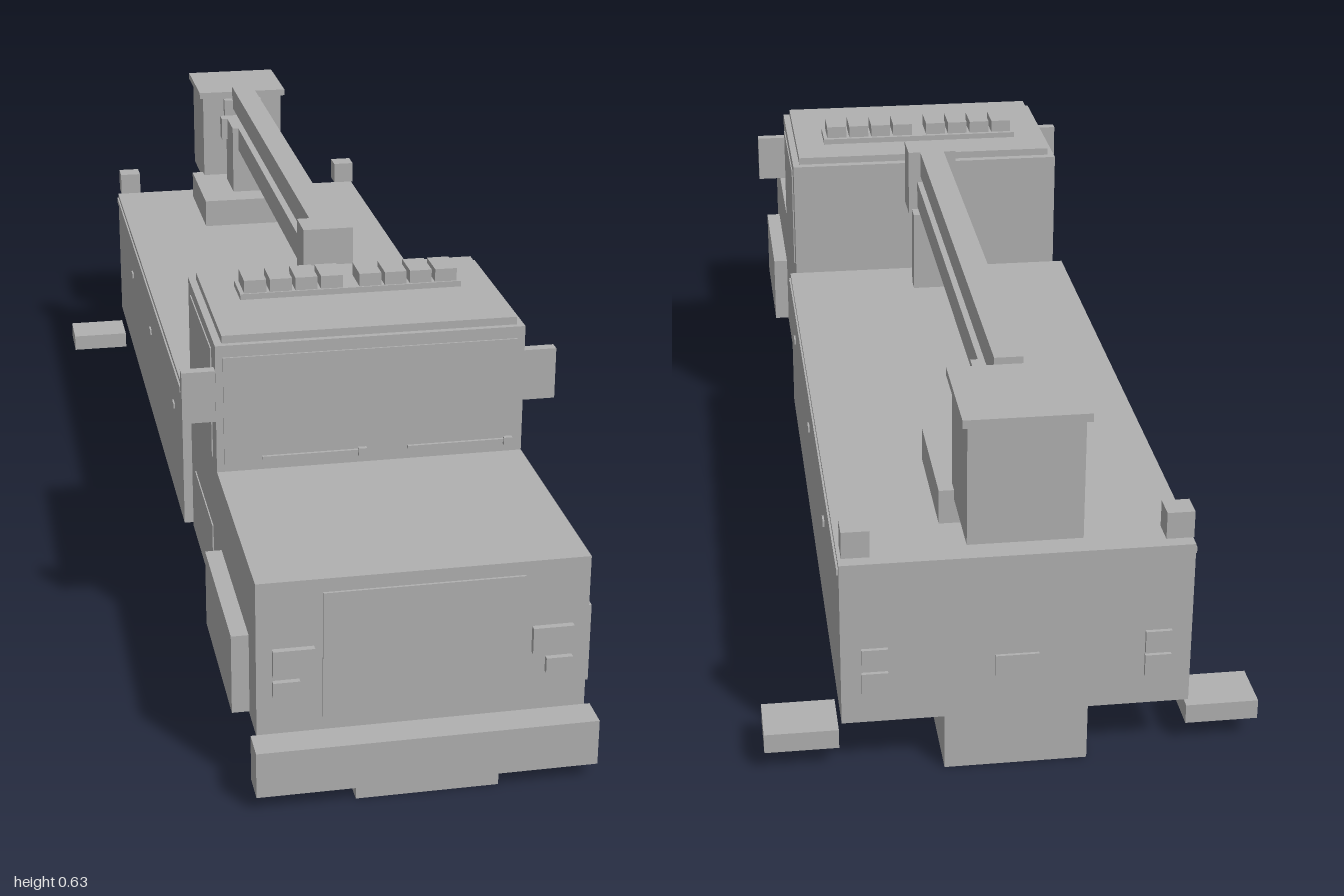
import * as THREE from 'three';

export function createModel() {
  const model = new THREE.Group();
  model.name = 'bucketTruck';
  const gray = new THREE.MeshStandardMaterial({ color: 0xb0b0b0 });
  gray.name = 'plain gray';

  // box given by its extents on each axis
  const box = (name, x0, x1, y0, y1, z0, z1) => {
    const mesh = new THREE.Mesh(new THREE.BoxGeometry(x1 - x0, y1 - y0, z1 - z0), gray);
    mesh.position.set((x0 + x1) / 2, (y0 + y1) / 2, (z0 + z1) / 2);
    mesh.name = name;
    model.add(mesh);
  };
  const centred = (name, halfWidth, ...yz) => box(name, -halfWidth, halfWidth, ...yz);
  const pair = (name, x0, x1, ...yz) => {
    box(name + 'Left', x0, x1, ...yz);
    box(name + 'Right', -x1, -x0, ...yz);
  };

  // chassis and bumper
  centred('chassis', 0.11, 0, 0.097, -0.94, 0.99);
  centred('bumper', 0.262, 0.025, 0.1, 0.948, 1);

  // hood and cab
  centred('hood', 0.253, 0.097, 0.352, 0.555, 0.948);
  centred('cab', 0.253, 0.097, 0.57, 0.225, 0.555);
  centred('roof', 0.241, 0.57, 0.583, 0.24, 0.545);
  centred('windshield', 0.241, 0.362, 0.55, 0.555, 0.558);
  centred('grille', 0.153, 0.122, 0.33, 0.948, 0.952);
  pair('headlight', 0.166, 0.229, 0.2, 0.243, 0.948, 0.958);
  pair('foglight', 0.188, 0.229, 0.165, 0.19, 0.948, 0.957);
  pair('fender', 0.253, 0.28, 0.101, 0.232, 0.595, 0.88);
  pair('sideWindow', 0.253, 0.255, 0.36, 0.55, 0.26, 0.51);
  pair('doorPanel', 0.253, 0.255, 0.15, 0.23, 0.28, 0.5);
  pair('mirror', 0.25, 0.307, 0.44, 0.527, 0.535, 0.553);

  // wipers
  for (const [start, end] of [[-0.18, -0.008], [0.06, 0.235]]) {
    box('wiperBlade', start, end - 0.012, 0.372, 0.377, 0.558, 0.563);
    box('wiperPivot', end - 0.014, end, 0.367, 0.38, 0.558, 0.566);
  }

  // roof light bar
  centred('lightBarBase', 0.187, 0.583, 0.593, 0.316, 0.388);
  for (let i = 0; i < 4; i++) {
    const x = 0.014 + i * 0.043;
    pair('roofLight', x, x + 0.037, 0.593, 0.615, 0.324, 0.385);
  }

  // rear body with trim and marker lights
  centred('body', 0.266, 0.092, 0.363, -0.94, 0.2);
  pair('bodyTrim', 0.266, 0.269, 0.345, 0.355, -0.935, 0.195);
  for (const z of [0.08, -0.3, -0.64]) {
    pair('sideMarker', 0.266, 0.269, 0.27, 0.28, z - 0.01, z + 0.01);
  }
  pair('tailLightUpper', 0.195, 0.235, 0.183, 0.22, -0.946, -0.94);
  pair('tailLightLower', 0.195, 0.235, 0.142, 0.179, -0.946, -0.94);
  centred('rearPlate', 0.033, 0.16, 0.195, -0.945, -0.94);
  pair('rearBeacon', 0.22, 0.262, 0.375, 0.418, -0.94, -0.9);
  pair('outriggerPad', 0.269, 0.383, 0.035, 0.067, -0.92, -0.835);

  // lift: turntable, folded boom and bucket
  centred('turntable', 0.108, 0.375, 0.43, -0.852, -0.637);
  centred('turret', 0.04, 0.43, 0.57, -0.79, -0.695);
  centred('turretPin', 0.052, 0.525, 0.57, -0.8, -0.772);
  centred('lowerBoom', 0.028, 0.522, 0.57, -0.795, 0.115);
  centred('upperBoom', 0.022, 0.582, 0.628, -0.82, 0.115);
  centred('boomElbow', 0.044, 0.508, 0.628, 0.115, 0.18);
  centred('boomRest', 0.04, 0.375, 0.522, 0.068, 0.1);
  centred('bucketBracket', 0.04, 0.55, 0.6, -0.83, -0.812);
  centred('bucket', 0.085, 0.415, 0.604, -0.992, -0.828);
  centred('bucketRim', 0.093, 0.604, 0.617, -1, -0.82);

  return model;
}
